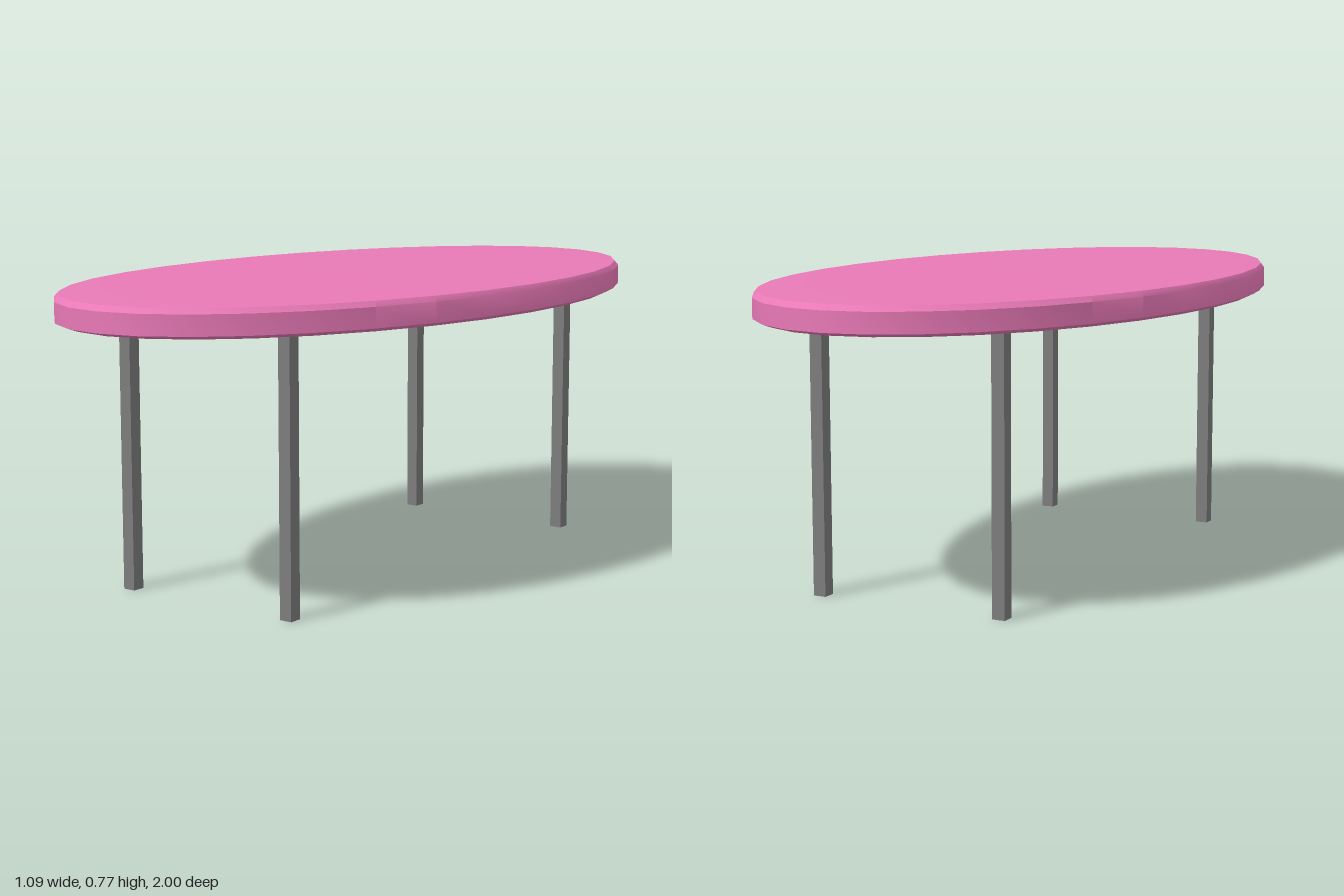
import * as THREE from 'three';
import { toCreasedNormals } from 'three/addons/utils/BufferGeometryUtils.js';

export function createModel() {
  const table = new THREE.Group();
  table.name = 'ovalTable';
  const pink = new THREE.MeshStandardMaterial({ color: 0xe879b6 });
  const grey = new THREE.MeshStandardMaterial({ color: 0x7c7c7c });

  // Oval top: a lathed slab with softened rims, squeezed in x
  const profile = [
    [0, 0.683], [0.62, 0.683], [0.85, 0.688], [0.97, 0.696], [1, 0.705],
    [1, 0.755], [0.985, 0.768], [0.8, 0.773], [0, 0.773],
  ].map(([r, y]) => new THREE.Vector2(r, y));
  const slab = new THREE.LatheGeometry(profile, 32).scale(0.543, 1, 1);
  const top = new THREE.Mesh(toCreasedNormals(slab, 0.6), pink);
  top.name = 'tableTop';
  table.add(top);

  // Four slim square legs
  const legHeight = 0.69;
  const legGeometry = new THREE.BoxGeometry(0.034, legHeight, 0.034);
  for (const [sideName, x] of [['Left', 0.251], ['Right', -0.251]]) {
    for (const [endName, z] of [['front', 0.626], ['back', -0.626]]) {
      const leg = new THREE.Mesh(legGeometry, grey);
      leg.name = `${endName}${sideName}Leg`;
      leg.position.set(x, legHeight / 2, z);
      table.add(leg);
    }
  }
  return table;
}
